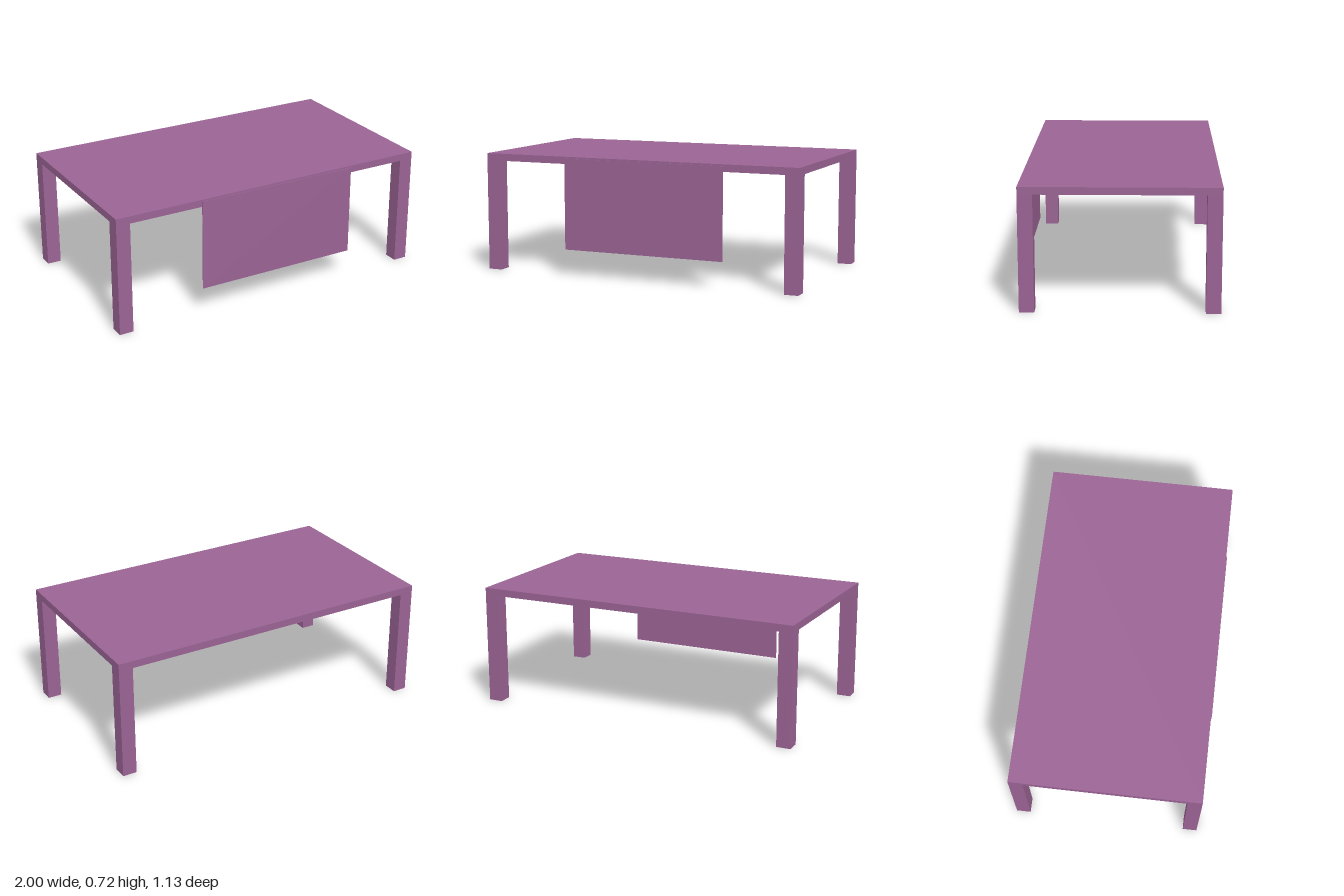
import * as THREE from 'three';

export function createModel() {
  const model = new THREE.Group();
  model.name = 'table';
  const material = new THREE.MeshStandardMaterial({ color: 0x9a6394 });

  // Box given by its minimum and maximum corners
  function addBox(name, [x0, y0, z0], [x1, y1, z1]) {
    const mesh = new THREE.Mesh(new THREE.BoxGeometry(x1 - x0, y1 - y0, z1 - z0), material);
    mesh.position.set((x0 + x1) / 2, (y0 + y1) / 2, (z0 + z1) / 2);
    mesh.name = name;
    model.add(mesh);
  }

  const halfWidth = 1, back = -0.563, front = 0.559;
  const underside = 0.673, top = 0.716, leg = 0.085;

  // Tabletop
  addBox('tabletop', [-halfWidth, underside, back], [halfWidth, top, front]);

  // Square legs, flush with the four corners
  for (const [side, x] of [['Right', -halfWidth], ['Left', halfWidth - leg]]) {
    for (const [end, z] of [['front', front - leg], ['back', back]]) {
      addBox(`${end}${side}Leg`, [x, 0, z], [x + leg, underside, z + leg]);
    }
  }

  // Thin modesty panel fixed to the front edge, slightly off centre
  addBox('frontPanel', [-0.465, 0.158, front], [0.546, 0.705, 0.564]);

  return model;
}
